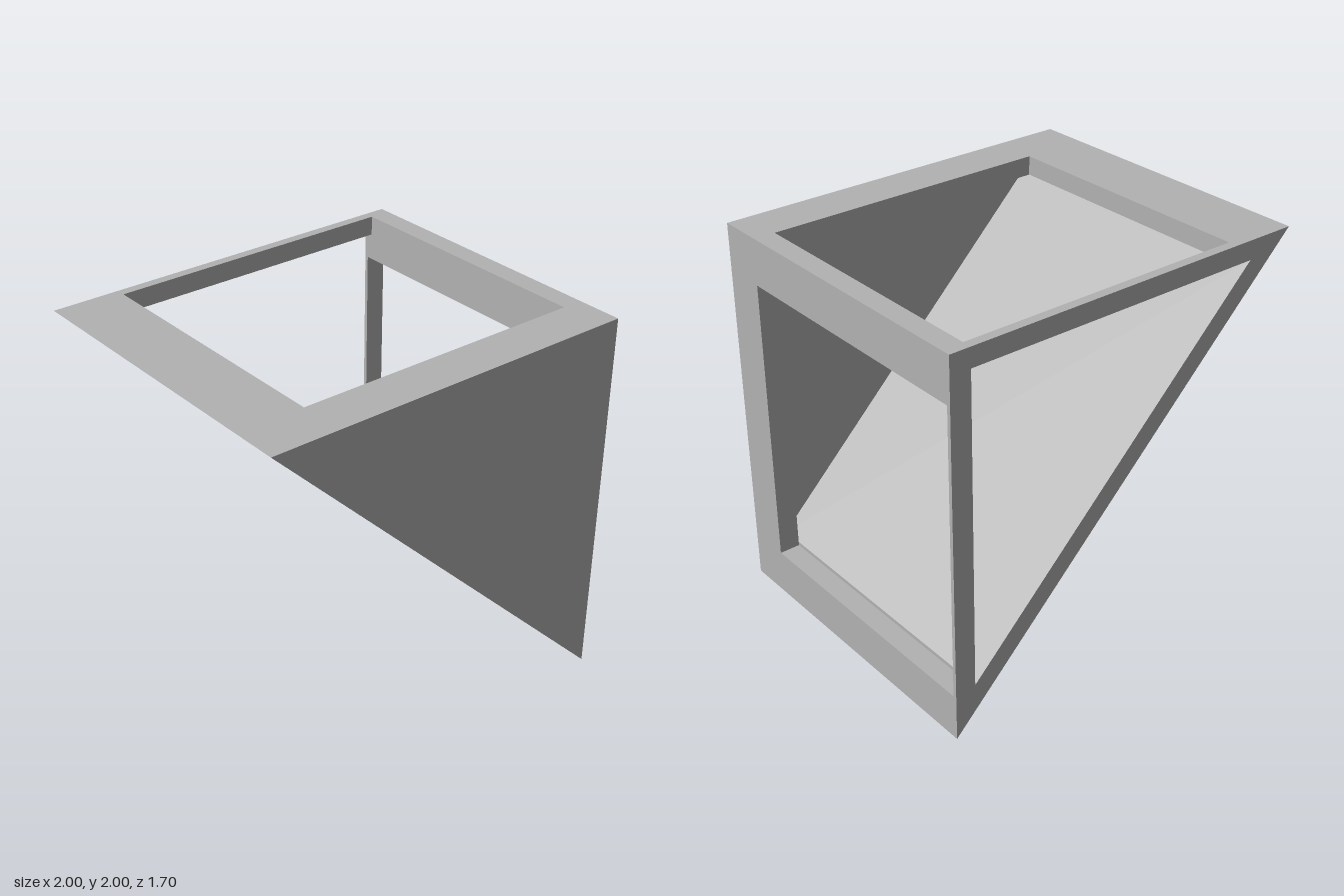
import * as THREE from 'three';
import { mergeGeometries } from 'three/addons/utils/BufferGeometryUtils.js';

// Planes that lift 2D outlines into space
const atZ = z => (a, b) => [a, b, z];        // (x, y), faces +z
const atY = y => (a, b) => [a, y, b];        // (x, z), faces down
const atX = x => (a, b) => [x, b, a];        // (z, y), faces -x
const onSlope = s => (a, b) => [a, s - a, b]; // (x, z), faces down the slope

const rect = (a0, b0, a1, b1) => [[a0, b0], [a1, b0], [a1, b1], [a0, b1]];

// One flat face, optionally pierced and turned around
function face(plane, outline, flip = false, hole = null) {
  const toPoints = list => list.map(p => new THREE.Vector2(...p));
  const shape = new THREE.Shape(toPoints(outline));
  if (hole) shape.holes.push(new THREE.Path(toPoints(hole)));
  const geo = new THREE.ShapeGeometry(shape);
  const pos = geo.attributes.position;
  for (let i = 0; i < pos.count; i++) pos.setXYZ(i, ...plane(pos.getX(i), pos.getY(i)));
  if (flip) geo.index.array.reverse();
  geo.computeVertexNormals();
  return geo;
}

export function createModel() {
  const group = new THREE.Group();
  const grey = new THREE.MeshStandardMaterial({ color: 0xb2b2b2 });
  grey.name = 'grey';
  const add = (name, ...faces) => {
    const mesh = new THREE.Mesh(mergeGeometries(faces), grey);
    mesh.name = name;
    group.add(mesh);
  };

  const D = 0.85;                       // half depth
  const inX = 0.89, inY = 1.9, inZ = 0.74; // cavity limits
  const inS = 1.15, tip = inS - inY;    // cavity floor: x + y = inS
  const outer = [[1, 0], [1, 2], [-1, 2]];
  const inner = [[inX, inS - inX], [inX, inY], [tip, inY]];

  // Closed triangular wall in front, open triangular frame behind
  add('frontWall', face(atZ(D), outer), face(atZ(inZ), inner, true));
  add('backFrame', face(atZ(-D), outer, true, inner));

  // Sloping floor, outside and inside
  add('slopedFloor',
    face(onSlope(1), rect(-1, -D, 1, D)),
    face(onSlope(inS), rect(tip, -D, inX, inZ), true));

  // Top frame: outside, underside and the sides of its opening
  const tx = -0.65, tz0 = -0.8, tz1 = 0.61;
  add('topFrame',
    face(atY(2), rect(-1, -D, 1, D), true, rect(tx, tz0, inX, tz1)),
    face(atY(inY), [[tip, -D], [inX, -D], [inX, tz0], [tx, tz0],
      [tx, tz1], [inX, tz1], [inX, inZ], [tip, inZ]]),
    face(atZ(tz0), rect(tx, inY, inX, 2)),
    face(atZ(tz1), rect(tx, inY, inX, 2), true),
    face(atX(tx), rect(tz0, inY, tz1, 2), true),
    face(atX(inX), rect(tz0, inY, tz1, 2)));

  // Upright frame: outside, inside, the sides of its opening and the floor lip
  const sz0 = -0.83, sz1 = 0.62, sy0 = 0.24, sy1 = 1.76, lip = inS - inX;
  add('uprightFrame',
    face(atX(1), rect(-D, 0, D, 2), true, rect(sz0, sy0, sz1, sy1)),
    face(atX(inX), [[-D, lip], [sz0, lip], [sz0, sy1], [sz1, sy1],
      [sz1, lip], [inZ, lip], [inZ, inY], [-D, inY]]),
    face(atY(sy0), rect(inX, sz0, 1, sz1), true),
    face(atY(sy1), rect(inX, sz0, 1, sz1)),
    face(atZ(sz0), rect(inX, sy0, 1, sy1)),
    face(atZ(sz1), rect(inX, sy0, 1, sy1), true),
    face(atX(inX), rect(sz0, sy0, sz1, lip), true));

  return group;
}
